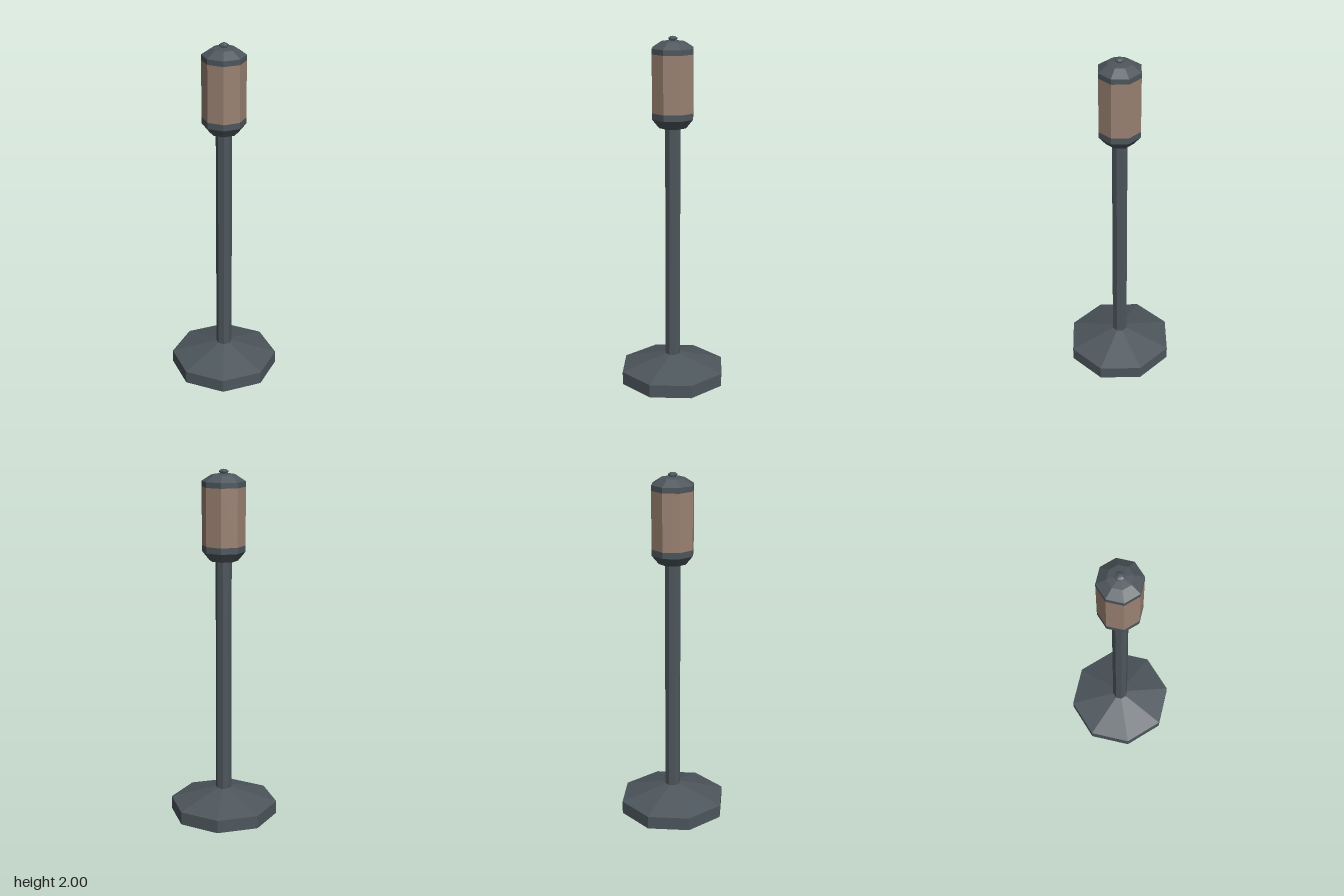
import * as THREE from 'three';

const SIDES = 8;
const metal = new THREE.MeshStandardMaterial({ color: 0x4d565c, flatShading: true });
const glass = new THREE.MeshStandardMaterial({ color: 0x9a8172, flatShading: true });

// Octagonal part turned from a [radius, height] profile, listed bottom to top
function turned(name, profile, material) {
  const points = profile.map(([r, y]) => new THREE.Vector2(r, y));
  const mesh = new THREE.Mesh(new THREE.LatheGeometry(points, SIDES), material);
  mesh.name = name;
  return mesh;
}

export function createModel() {
  const lamp = new THREE.Group();
  lamp.name = 'lampPost';

  // Weighted foot with a sloping top
  lamp.add(turned('base', [[0, 0], [0.31, 0], [0.31, 0.075], [0.045, 0.155]], metal));

  // Slim post
  lamp.add(turned('pole', [[0.045, 0.15], [0.045, 1.51]], metal));

  // Lantern: lower cup, glazed body, domed cap and finial
  const lantern = new THREE.Group();
  lantern.name = 'lantern';
  lantern.add(
    turned('lanternCup', [[0, 1.5], [0.08, 1.5], [0.121, 1.55], [0.121, 1.585]], metal),
    turned('lanternGlass', [[0.121, 1.585], [0.121, 1.905]], glass),
    turned('lanternCap', [[0.121, 1.905], [0.121, 1.935], [0.067, 1.97], [0, 1.98]], metal),
    turned('finial', [[0.013, 1.973], [0.026, 1.983], [0.026, 1.99], [0.013, 1.998], [0, 2]], metal)
  );
  lamp.add(lantern);

  return lamp;
}
